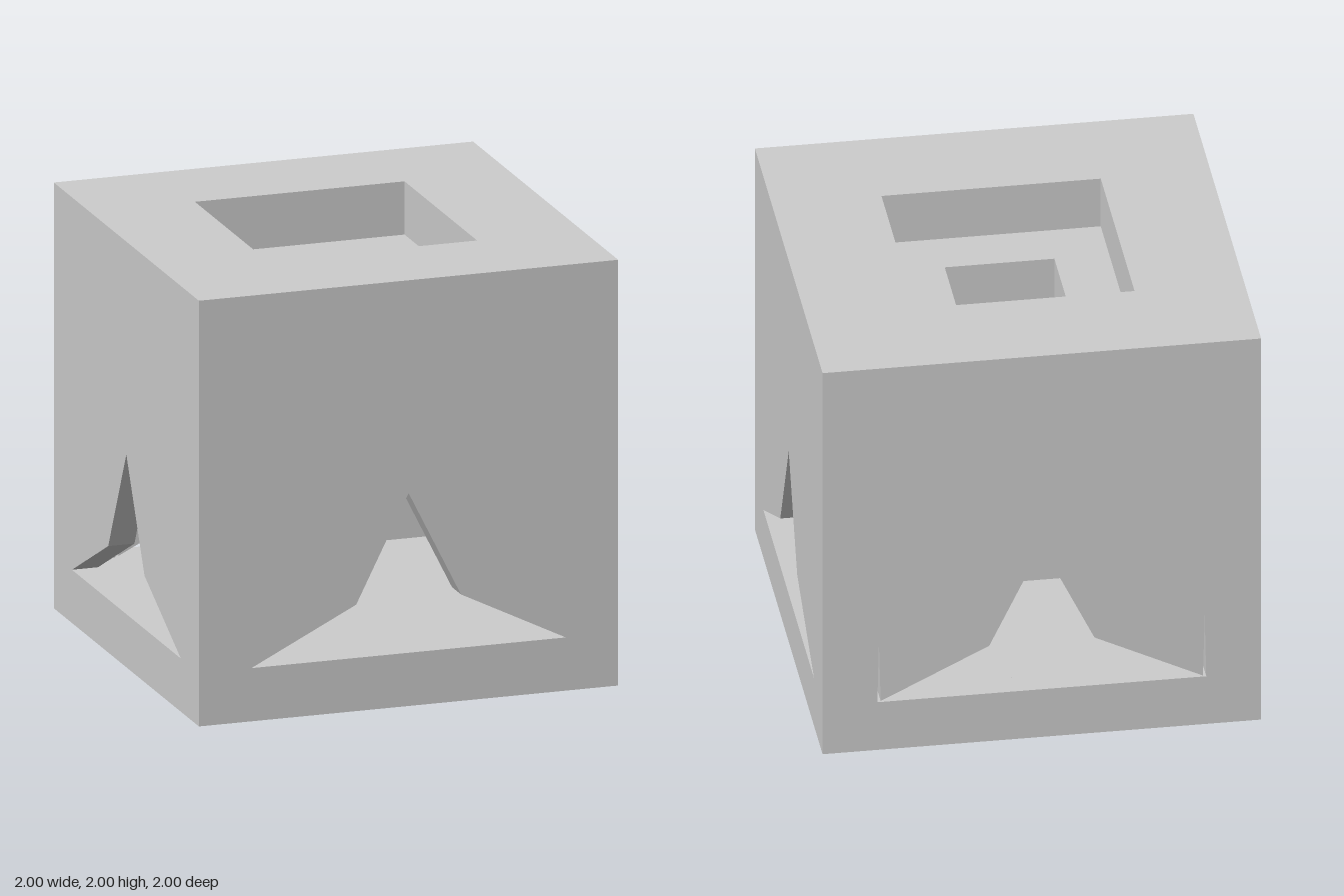
import * as THREE from 'three';

const WALL = 0.125;       // wall thickness
const INNER = 1 - WALL;   // half width inside the walls

// Closed path from [x, y] pairs
function path(points, Type = THREE.Path) {
  return new Type(points.map(([x, y]) => new THREE.Vector2(x, y)));
}

function square(h, Type) {
  return path([[-h, -h], [h, -h], [h, h], [-h, h]], Type);
}

// Symmetric opening: right half from apex to base, mirrored to the left
function opening(half) {
  const left = half.slice(1).reverse().map(([x, y]) => [-x, y]);
  return path([...half, ...left]);
}

export function createModel() {
  const group = new THREE.Group();
  const stone = new THREE.MeshStandardMaterial({ color: 0xcccccc });
  stone.name = 'plain grey';

  function add(name, geometry) {
    const mesh = new THREE.Mesh(geometry, stone);
    mesh.name = name;
    group.add(mesh);
    return mesh;
  }

  // Four outer walls, each with a pointed, flared opening
  const flared = [[0, 1], [0.25, 0.5], [0.75, 0.25]];
  // The back opening is a touch narrower, with a thin slit at each tip
  const slitted = [[0, 1], [0.24, 0.5], [0.735, 0.255], [0.743, 0.57], [0.75, 0.25]];
  ['frontWall', 'leftWall', 'backWall', 'rightWall'].forEach((name, i) => {
    const w = i % 2 ? INNER : 1;
    const shape = path([[-w, 0], [w, 0], [w, 2], [-w, 2]], THREE.Shape);
    shape.holes.push(opening(i === 2 ? slitted : flared));
    const geometry = new THREE.ExtrudeGeometry(shape, { depth: WALL, bevelEnabled: false });
    geometry.translate(0, 0, INNER);
    add(name, geometry).rotation.y = i * Math.PI / 2;
  });

  // Floor of the lower chamber
  const floor = new THREE.BoxGeometry(2 * INNER, 0.25, 2 * INNER);
  floor.translate(0, 0.125, 0);
  add('chamberFloor', floor);

  // Stacked layers with square holes: lower recess, shaft, upper recess
  [
    ['lowerRecess', 0.75, 1, 0.5],
    ['shaft', 1, 1.75, 0.25],
    ['upperRecess', 1.75, 2, 0.5],
  ].forEach(([name, bottom, top, hole]) => {
    const shape = square(INNER, THREE.Shape);
    shape.holes.push(square(hole));
    const geometry = new THREE.ExtrudeGeometry(shape, { depth: top - bottom, bevelEnabled: false });
    geometry.rotateX(-Math.PI / 2);
    geometry.translate(0, bottom, 0);
    add(name, geometry);
  });

  return group;
}
